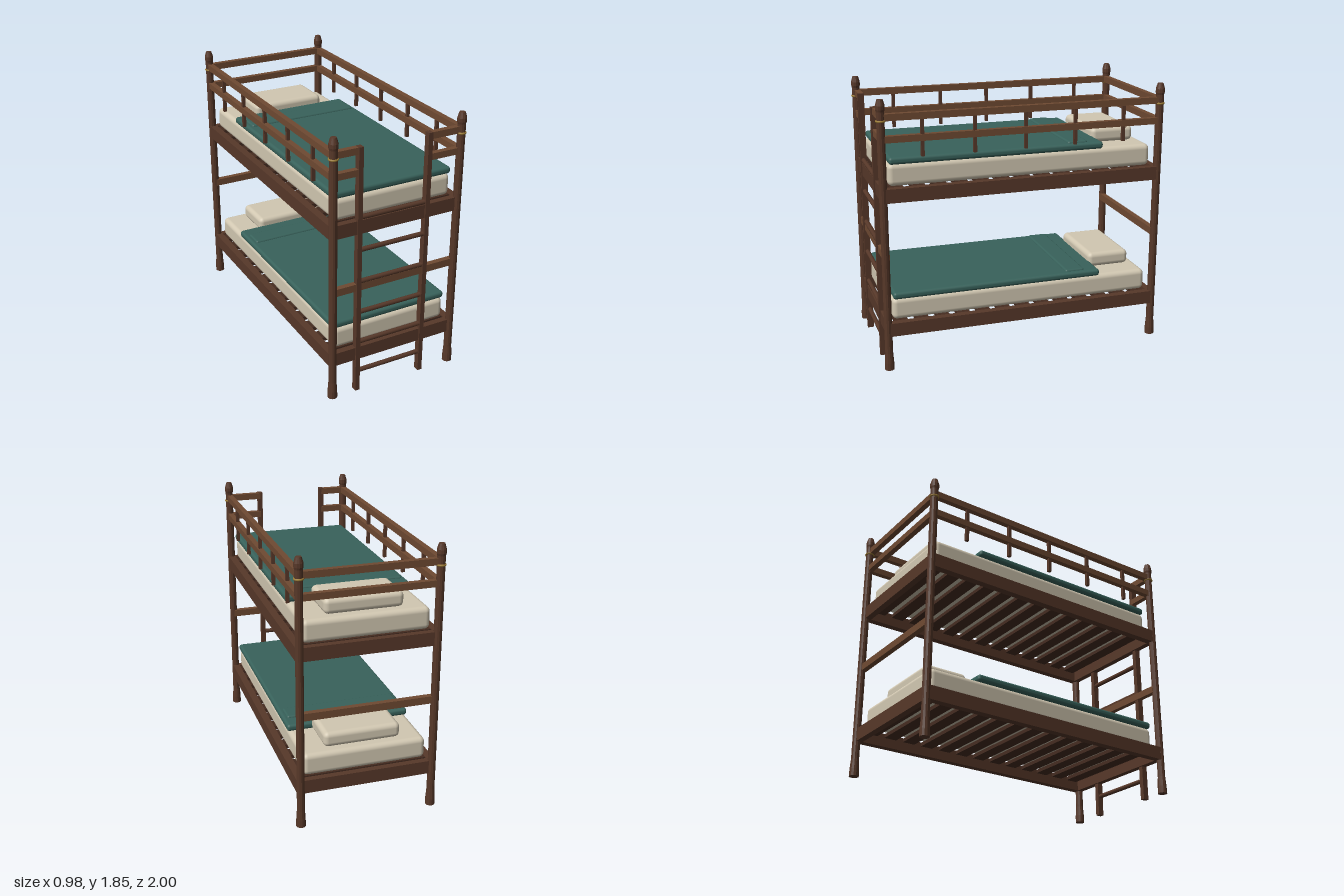
import * as THREE from 'three';
import { RoundedBoxGeometry } from 'three/addons/geometries/RoundedBoxGeometry.js';

const mat = (color) => new THREE.MeshStandardMaterial({ color });

export function createModel() {
  const group = new THREE.Group();
  const wood = mat(0x573829), lightWood = mat(0x6f4a32), darkWood = mat(0x452c21);
  const linen = mat(0xd2c8b2), cloth = mat(0x38625b), brass = mat(0x9a7a34);
  const PX = 0.457, PZ = 0.967; // post centres

  const add = (name, geometry, material, x, y, z) => {
    const mesh = new THREE.Mesh(geometry, material);
    mesh.name = name;
    mesh.position.set(x, y, z);
    group.add(mesh);
    return mesh;
  };
  // Box given by its extents on each axis
  const box = (name, material, [x0, x1], [y0, y1], [z0, z1], radius = 0) => {
    const size = [x1 - x0, y1 - y0, z1 - z0];
    const geometry = radius
      ? new RoundedBoxGeometry(...size, 3, radius)
      : new THREE.BoxGeometry(...size);
    return add(name, geometry, material, (x0 + x1) / 2, (y0 + y1) / 2, (z0 + z1) / 2);
  };

  // Corner posts: flared foot, straight shaft, bevelled finial, brass collar
  const profile = [[0, 0], [0.033, 0], [0.032, 0.05], [0.027, 0.12], [0.027, 1.77],
    [0.031, 1.785], [0.031, 1.81], [0.02, 1.848], [0, 1.85]]
    .map(([r, y]) => new THREE.Vector2(r, y));
  const postWood = wood.clone();
  postWood.flatShading = true;
  for (const sx of [-1, 1]) for (const sz of [-1, 1]) {
    add('post', new THREE.LatheGeometry(profile, 12), postWood, sx * PX, 0, sz * PZ);
    const collar = add('collar', new THREE.TorusGeometry(0.027, 0.007, 8, 24), brass, sx * PX, 1.71, sz * PZ);
    collar.rotation.x = Math.PI / 2;
  }

  // Two identical bunks
  for (const y of [0, 0.93]) {
    const rail = [y + 0.243, y + 0.336];
    for (const s of [-1, 1]) {
      box('sideRail', wood, [s * 0.455 - 0.025, s * 0.455 + 0.025], rail, [-PZ, PZ]);
      box('endRail', wood, [-PX, PX], rail, [s * 0.955 - 0.022, s * 0.955 + 0.022]);
    }
    for (let i = 0; i < 13; i++) {
      const z = -0.87 + i * 0.145;
      box('slat', darkWood, [-0.435, 0.435], [y + 0.308, y + 0.334], [z - 0.045, z + 0.045]);
    }
    box('mattress', linen, [-0.425, 0.425], [y + 0.335, y + 0.487], [-0.925, 0.925], 0.035);
    box('pillow', linen, [-0.266, 0.264], [y + 0.485, y + 0.59], [-0.865, -0.553], 0.034);
    box('blanket', cloth, [-0.433, 0.433], [y + 0.482, y + 0.531], [-0.57, 0.918], 0.02);
    box('blanketFold', cloth, [-0.405, 0.405], [y + 0.51, y + 0.544], [-0.462, -0.32], 0.015);
  }

  // Guard rails along the sides and back, short stubs beside the ladder
  const ladderX = [-0.276, 0.218];
  for (const y of [[1.71, 1.755], [1.568, 1.612]]) {
    for (const s of [-1, 1]) {
      box('sideGuardRail', lightWood, [s * 0.455 - 0.019, s * 0.455 + 0.019], y, [-PZ, PZ]);
    }
    box('backGuardRail', lightWood, [-PX, PX], y, [-0.978, -0.94]);
    box('frontGuardStub', lightWood, [-PX, ladderX[0]], y, [0.94, 0.978]);
    box('frontGuardStub', lightWood, [ladderX[1], PX], y, [0.94, 0.978]);
  }

  // Uprights of the side guards
  for (const s of [-1, 1]) for (let i = -2; i <= 2; i++) {
    const x = s * 0.455, z = i * 0.35;
    box('guardSpindle', wood, [x - 0.011, x + 0.011], [1.465, 1.73], [z - 0.011, z + 0.011]);
  }

  // Cross rails between the bunks
  for (const s of [-1, 1]) {
    box('crossRail', lightWood, [-PX, PX], [0.765, 0.816], [s * 0.957 - 0.019, s * 0.957 + 0.019]);
  }

  // Ladder
  for (const x of ladderX) {
    box('ladderUpright', wood, [x - 0.016, x + 0.016], [0, 1.757], [0.943, 0.986]);
  }
  const length = ladderX[1] - ladderX[0];
  for (let i = 0; i < 6; i++) {
    const rung = add('ladderRung', new THREE.CylinderGeometry(0.016, 0.016, length, 12), wood,
      (ladderX[0] + ladderX[1]) / 2, 0.145 + i * 0.2275, 0.965);
    rung.rotation.z = Math.PI / 2;
  }
  return group;
}
